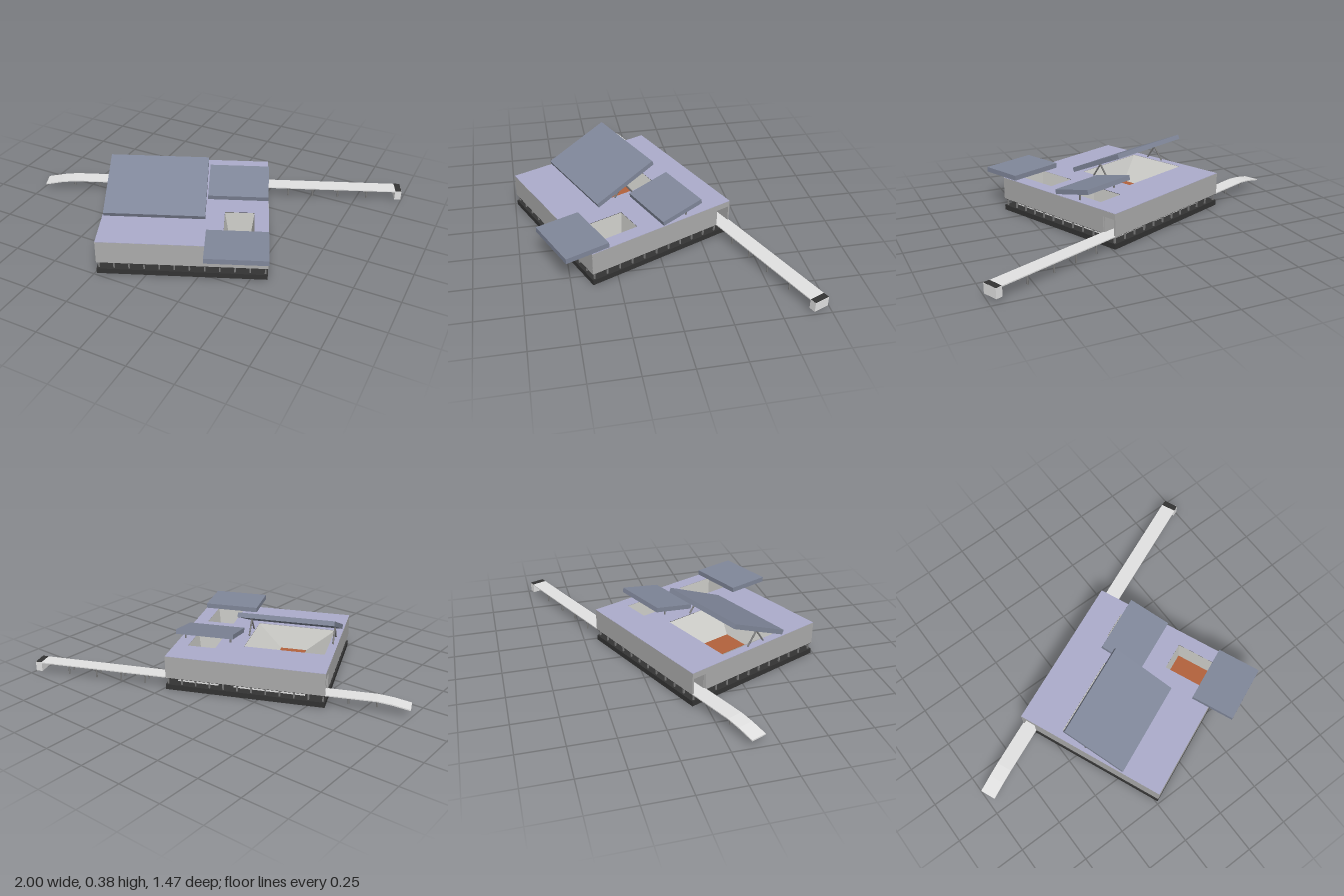
import * as THREE from 'three';

const mat = (name, color, double) => {
  const m = new THREE.MeshStandardMaterial({ color });
  m.name = name;
  if (double) m.side = THREE.DoubleSide;
  return m;
};

export function createModel() {
  const deckMat = mat('lavenderRoof', 0xacaccb);
  const wallMat = mat('wallGrey', 0xacacac, true);
  const darkMat = mat('darkBase', 0x333333);
  const panelMat = mat('slateRoof', 0x80879a);
  const lightMat = mat('lightConcrete', 0xe2e2e2, true);
  const courtMat = mat('courtGrey', 0xc8c8c4, true);
  const floorMat = mat('terracotta', 0xb2623c);
  const postMat = mat('postGrey', 0x7c7c7c);

  const model = new THREE.Group();
  const site = new THREE.Group();
  site.name = 'pavilion';
  site.position.set(-0.002, 0, 0.157);
  site.rotation.y = THREE.MathUtils.degToRad(23.1);
  model.add(site);

  const add = (name, geo, material) => {
    const m = new THREE.Mesh(geo, material);
    m.name = name;
    site.add(m);
    return m;
  };
  // box from its extents
  const box = (name, material, x0, x1, y0, y1, z0, z1) => {
    const m = add(name, new THREE.BoxGeometry(x1 - x0, y1 - y0, z1 - z0), material);
    m.position.set((x0 + x1) / 2, (y0 + y1) / 2, (z0 + z1) / 2);
    return m;
  };
  // horizontal slab with rectangular holes, each [x0, x1, z0, z1]
  const rect = (p, [x0, x1, z0, z1]) =>
    p.moveTo(x0, -z0).lineTo(x1, -z0).lineTo(x1, -z1).lineTo(x0, -z1).closePath();
  const slab = (name, material, r, holes, y0, y1) => {
    const s = rect(new THREE.Shape(), r);
    holes.forEach(h => s.holes.push(rect(new THREE.Path(), h)));
    const g = new THREE.ExtrudeGeometry(s, { depth: y1 - y0, bevelEnabled: false });
    g.rotateX(-Math.PI / 2).translate(0, y0, 0);
    return add(name, g, material);
  };
  // four-sided open shaft between two rectangles
  const shaft = (name, material, top, y1, bottom, y0) => {
    const ring = ([a, b, c, d], y) => [a, y, c, b, y, c, b, y, d, a, y, d];
    const g = new THREE.BufferGeometry();
    g.setAttribute('position', new THREE.Float32BufferAttribute([...ring(bottom, y0), ...ring(top, y1)], 3));
    const idx = [];
    for (let i = 0; i < 4; i++) {
      const j = (i + 1) % 4;
      idx.push(i, j, j + 4, i, j + 4, i + 4);
    }
    g.setIndex(idx);
    const flat = g.toNonIndexed();
    flat.computeVertexNormals();
    return add(name, flat, material);
  };
  // round strut between two points
  const strut = (name, a, b, r = 0.005) => {
    const p = new THREE.Vector3(...a), q = new THREE.Vector3(...b);
    const d = q.clone().sub(p);
    const m = add(name, new THREE.CylinderGeometry(r, r, d.length(), 8), postMat);
    m.position.copy(p).add(q).multiplyScalar(0.5);
    m.quaternion.setFromUnitVectors(new THREE.Vector3(0, 1, 0), d.normalize());
  };

  const W = 0.447, D = 0.44, T = 0.008;
  const footprint = [-W, W, -D, D];

  // base frame with two long rooms lined by light walls
  const rooms = [[0.16, 0.395, -0.385, 0.385], [-0.33, 0.07, -0.385, 0.365]];
  slab('base', darkMat, footprint, rooms, 0, 0.03);
  rooms.forEach(r => shaft('roomWalls', lightMat, r, 0.07, r, 0.025));

  // columns around the open lower storey
  for (let i = 0; i <= 11; i++) {
    const t = -1 + i / 5.5, r = 0.004;
    for (const s of [-1, 1]) {
      box('column', postMat, s * 0.435 - r, s * 0.435 + r, 0.03, 0.07, t * 0.425 - r, t * 0.425 + r);
      if (i > 0 && i < 11)
        box('column', postMat, t * 0.435 - r, t * 0.435 + r, 0.03, 0.07, s * 0.425 - r, s * 0.425 + r);
    }
  }

  // upper storey: soffit, walls and pierced deck
  const courts = [
    { top: [-0.4, 0.06, -0.197, 0.17], floor: [-0.24, -0.09, -0.14, 0.11], rim: 0.03 },
    { top: [0.21, 0.37, -0.265, -0.06], floor: [0.227, 0.353, -0.235, -0.075], rim: 0.015 },
    { top: [0.21, 0.37, 0.12, 0.36], floor: [0.232, 0.355, 0.135, 0.345], rim: 0.015 },
  ];
  slab('soffit', darkMat, footprint, [], 0.068, 0.074);
  slab('roofDeck', deckMat, footprint, courts.map(c => c.top), 0.194, 0.2);
  box('frontWall', wallMat, -W, W, 0.07, 0.198, D - T, D + 0.0005);
  box('backWall', wallMat, -W, W, 0.07, 0.198, -D - 0.0005, -D + T);
  // side walls with a doorway at the back corner
  for (const s of [-1, 1]) {
    const x = s * (W - T / 2 + 0.0005);
    box('sideWall', wallMat, x - T / 2, x + T / 2, 0.07, 0.198, -0.355, D);
    box('doorLintel', wallMat, x - T / 2, x + T / 2, 0.165, 0.198, -D, -0.355);
  }
  box('passageWall', wallMat, -W + T, W - T, 0.074, 0.194, -0.36, -0.352);
  box('passageCeiling', wallMat, -W + T, W - T, 0.165, 0.17, -D + T, -0.355);

  // sunken courts with sloping sides
  courts.forEach(({ top, floor, rim }) => {
    shaft('courtWalls', courtMat, top, 0.198, floor, 0.078);
    const [a, b, c, d] = floor;
    box('courtFloor', floorMat, a, b, 0.06, 0.08, c, d);
    slab('courtRim', courtMat, [a - rim, b + rim, c - rim, d + rim], [floor], 0.062, 0.067);
  });

  // tilted roof panels, hinged on the lower front edge
  const panel = (name, x0, x1, zFront, run, angle, thick) => {
    const len = run / Math.cos(angle);
    const g = new THREE.BoxGeometry(x1 - x0, thick, len);
    g.translate(0, thick / 2, -len / 2).rotateX(angle);
    add(name, g, panelMat).position.set((x0 + x1) / 2, 0.202, zFront);
  };
  panel('largeRoofPanel', -0.44, 0.108, 0.2, 0.36, 0.41, 0.027);
  panel('backRoofPanel', 0.112, 0.446, 0, 0.247, 0.216, 0.027);
  panel('frontRoofPanel', 0.12, 0.446, 0.588, 0.25, 0, 0.029);

  // struts under the panels
  for (const x of [-0.42, 0.07])
    for (const z of [-0.04, 0.075]) strut('roofStrut', [x, 0.2, z], [x, 0.28, 0.02]);
  for (const x of [0.15, 0.42]) strut('roofPost', [x, 0.2, -0.16], [x, 0.24, -0.16]);

  // walkway crossing the back of the building, ramped down at one end
  const z0 = -0.44, z1 = -0.352;
  const profile = new THREE.Shape();
  [[-0.896, 0.041], [-0.8, 0.06], [-0.72, 0.07], [1.242, 0.069], [1.242, 0.075],
    [-0.72, 0.076], [-0.8, 0.067], [-0.896, 0.048]]
    .forEach(([x, y], i) => (i ? profile.lineTo(x, y) : profile.moveTo(x, y)));
  const walk = new THREE.ExtrudeGeometry(profile, { depth: z1 - z0, bevelEnabled: false });
  walk.translate(0, 0, z0);
  add('walkway', walk, lightMat);
  box('walkwayEndBlock', lightMat, 1.205, 1.242, 0.02, 0.072, z0, z1);
  box('endBlockTop', darkMat, 1.207, 1.241, 0.072, 0.0765, z0 + 0.001, z1 - 0.001);
  for (const x of [-0.72, -0.57, 0.575, 0.72, 0.87, 1.04])
    for (const z of [z0 + 0.015, z1 - 0.015])
      strut('walkwayPost', [x, x < 0 ? 0.035 : 0.015, z], [x, 0.07, z]);

  return model;
}
